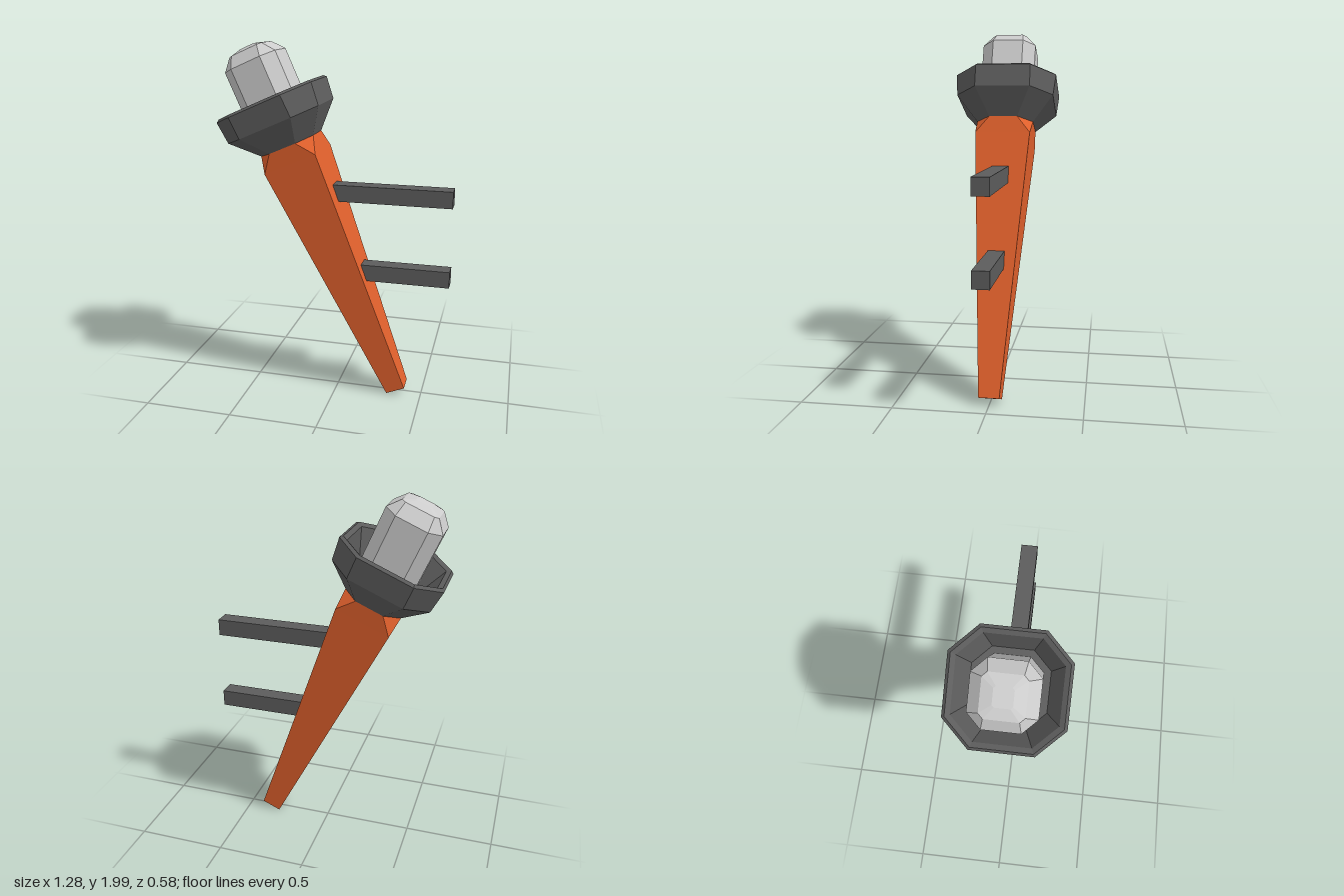
import * as THREE from 'three';

const TILT = 0.413;
const orange = new THREE.MeshStandardMaterial({ color: 0xe0602c, flatShading: true });
const iron = new THREE.MeshStandardMaterial({ color: 0x5c5c5c, flatShading: true });
const pale = new THREE.MeshStandardMaterial({ color: 0xcccccc, flatShading: true });

// Ring of a square with cut corners: half = half width, edge = half length of the straight side
function ring([y, half, edge]) {
  return [[half, -edge], [half, edge], [edge, half], [-edge, half],
    [-half, edge], [-half, -edge], [-edge, -half], [edge, -half]]
    .map(([x, z]) => new THREE.Vector3(x, y, z));
}

// Faceted skin through a list of [height, half, edge] rings, closed at both ends
function loft(name, profile, material) {
  const rings = profile.map(ring);
  const pos = [];
  const tri = (a, b, c) => {
    const area = b.clone().sub(a).cross(c.clone().sub(a)).length();
    if (area > 1e-7) for (const p of [a, b, c]) pos.push(p.x, p.y, p.z);
  };
  const last = rings.length - 1;
  const bottom = new THREE.Vector3(0, profile[0][0], 0);
  const top = new THREE.Vector3(0, profile[last][0], 0);
  for (let i = 0; i < 8; i++) {
    const j = (i + 1) % 8;
    for (let r = 0; r < last; r++) {
      const lo = rings[r], hi = rings[r + 1];
      tri(lo[i], hi[i], lo[j]);
      tri(lo[j], hi[i], hi[j]);
    }
    tri(bottom, rings[0][i], rings[0][j]);
    tri(top, rings[last][j], rings[last][i]);
  }
  const geometry = new THREE.BufferGeometry();
  geometry.setAttribute('position', new THREE.Float32BufferAttribute(pos, 3));
  geometry.computeVertexNormals();
  const mesh = new THREE.Mesh(geometry, material);
  mesh.name = name;
  return mesh;
}

export function createModel() {
  const model = new THREE.Group();
  model.name = 'wallTorch';

  // Leaning torch, built upright around its own axis
  const torch = new THREE.Group();
  torch.name = 'torch';
  torch.position.set(0.355, 0.023, 0);
  torch.rotation.z = TILT;
  model.add(torch);

  // Tapered square handle whose corners are cut off at the top
  torch.add(loft('handle', [
    [0, 0.056, 0.056], [1.46, 0.156, 0.156], [1.555, 0.163, 0.08],
  ], orange));

  // Hollow cup: up the outside, over the rim, down to the floor
  torch.add(loft('cup', [
    [1.555, 0.163, 0.08], [1.69, 0.278, 0.155], [1.815, 0.291, 0.155],
    [1.828, 0.276, 0.148], [1.815, 0.252, 0.138], [1.68, 0.19, 0.1],
  ], iron));

  // Rounded light standing in the cup
  torch.add(loft('light', [
    [1.67, 0.156, 0.088], [2.04, 0.156, 0.088], [2.105, 0.1, 0.078], [2.123, 0.045, 0.035],
  ], pale));

  // Two square wall brackets
  for (const [name, y, start] of [['upperBracket', 1.19, -0.06], ['lowerBracket', 0.737, 0.11]]) {
    const end = 0.637;
    const bar = new THREE.Mesh(new THREE.BoxGeometry(end - start, 0.093, 0.092), iron);
    bar.position.set((start + end) / 2, y, 0);
    bar.name = name;
    model.add(bar);
  }
  return model;
}
